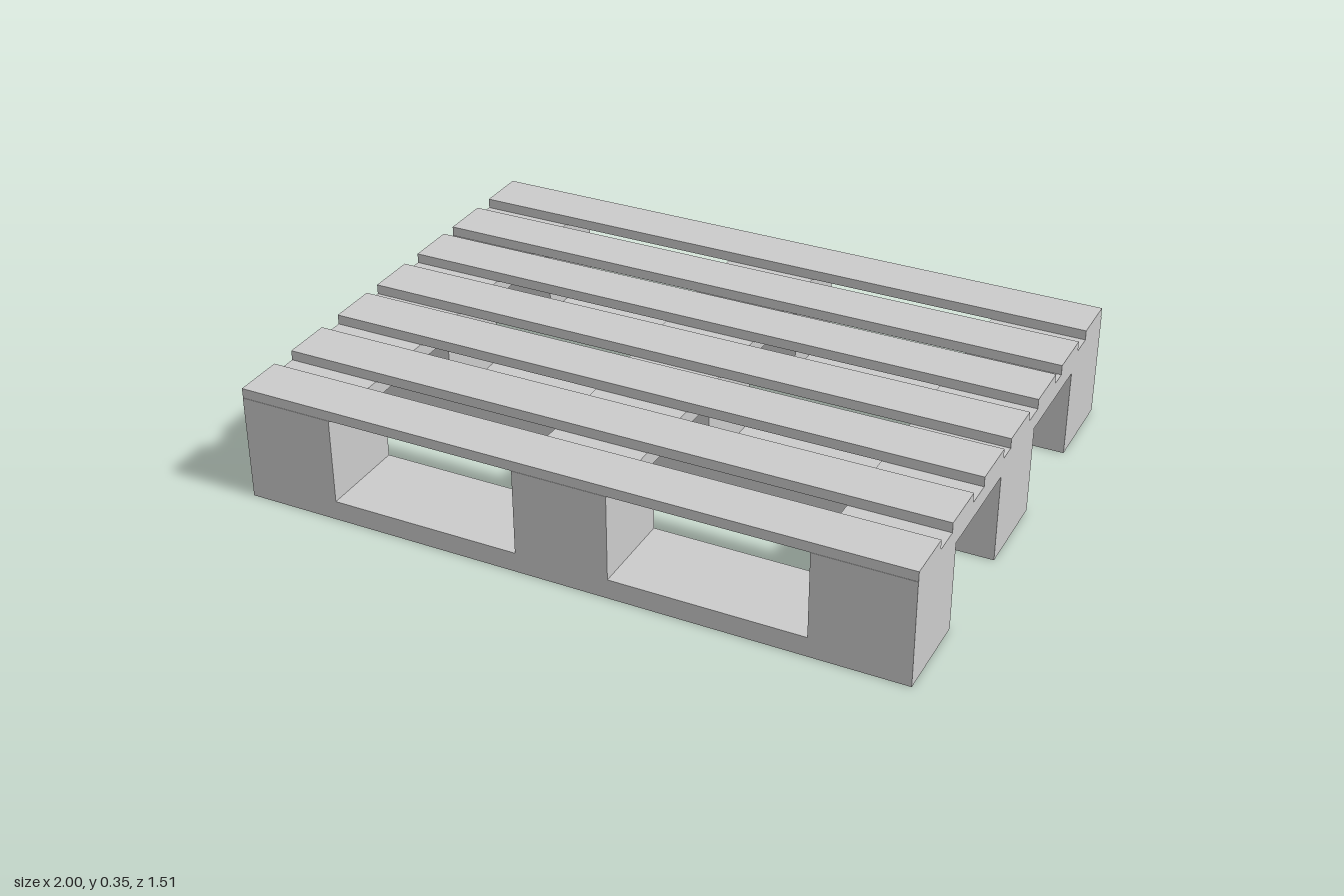
import * as THREE from 'three';

export function createModel() {
  const pallet = new THREE.Group();
  pallet.name = 'pallet';
  const wood = new THREE.MeshStandardMaterial({ color: 0xcccccc, flatShading: true });

  // Board spanning the given [min, max] ranges
  function board(name, [x0, x1], [y0, y1], [z0, z1]) {
    const mesh = new THREE.Mesh(new THREE.BoxGeometry(x1 - x0, y1 - y0, z1 - z0), wood);
    mesh.position.set((x0 + x1) / 2, (y0 + y1) / 2, (z0 + z1) / 2);
    mesh.name = name;
    pallet.add(mesh);
  }

  const fullLength = [-1, 1];
  const columns = [[-1, -0.717], [-0.143, 0.138], [0.713, 1]];
  const rows = [[-0.753, -0.478], [-0.142, 0.134], [0.48, 0.753]];

  // Bottom runners with three blocks on each
  for (const row of rows) {
    board('bottomRunner', fullLength, [0, 0.06], row);
    for (const column of columns) board('block', column, [0.06, 0.27], row);
  }

  // Cross boards joining the blocks from front to back
  for (const [x0, x1] of columns) {
    board('crossBoard', [x0, x1], [0.27, 0.322], [-0.753, 0.753]);
  }

  // Deck slats, unevenly spaced
  const slatCentres = [-0.671, -0.446, -0.238, -0.01, 0.201, 0.438, 0.675];
  for (const z of slatCentres) {
    board('deckSlat', fullLength, [0.322, 0.352], [z - 0.077, z + 0.077]);
  }

  return pallet;
}
